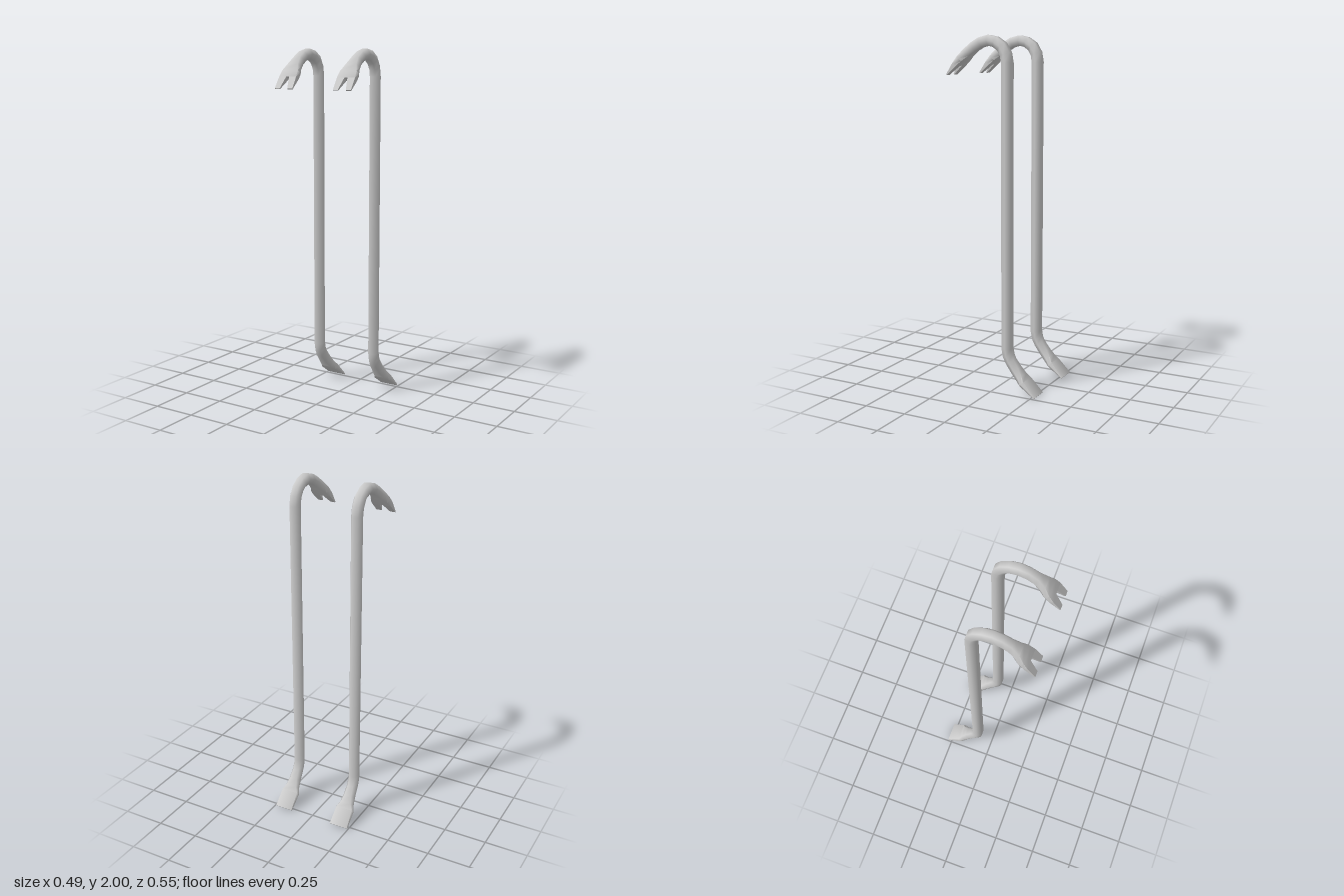
import * as THREE from 'three';
import { toCreasedNormals } from 'three/addons/utils/BufferGeometryUtils.js';

// Stations from foot to claw root: z, y, half width, half flat, half thickness
const STATIONS = [
  [-0.272, 0.006, 0.058, 0.057, 0.004],
  [-0.19, 0.075, 0.058, 0.05, 0.017],
  [-0.165, 0.1, 0.045, 0.032, 0.023],
  [-0.135, 0.135, 0.038, 0.022, 0.027],
  [-0.1, 0.182, 0.035, 0.0175, 0.029],
  [-0.085, 0.213, 0.035, 0.0175, 0.03],
  [-0.077, 0.255, 0.035, 0.0175, 0.03],
  [-0.077, 1.85, 0.035, 0.0175, 0.03],
  [-0.069, 1.897, 0.035, 0.0175, 0.03],
  [-0.045, 1.937, 0.035, 0.0175, 0.03],
  [-0.008, 1.962, 0.035, 0.0175, 0.029],
  [0.035, 1.971, 0.035, 0.0175, 0.029],
  [0.083, 1.96, 0.035, 0.0175, 0.028],
  [0.125, 1.936, 0.036, 0.02, 0.027],
  [0.165, 1.903, 0.045, 0.032, 0.024],
  [0.195, 1.872, 0.058, 0.05, 0.019],
  [0.222, 1.842, 0.058, 0.056, 0.014],
];
const TIP = [0.272, 1.785, 0.058, 0.058, 0.003];

// Skin a list of matching rings, capping the ends
function loft(rings, capStart = true) {
  const out = [];
  const n = rings[0].length;
  const tri = (...p) => p.forEach((v) => out.push(v.x, v.y, v.z));
  for (let r = 0; r < rings.length - 1; r++) {
    const a = rings[r], b = rings[r + 1];
    for (let i = 0; i < n; i++) {
      const j = (i + 1) % n;
      tri(a[i], a[j], b[j]);
      tri(a[i], b[j], b[i]);
    }
  }
  const first = rings[0], last = rings[rings.length - 1];
  for (let i = 1; i < n - 1; i++) {
    if (capStart) tri(first[0], first[i + 1], first[i]);
    tri(last[0], last[i], last[i + 1]);
  }
  const geo = new THREE.BufferGeometry();
  geo.setAttribute('position', new THREE.Float32BufferAttribute(out, 3));
  return toCreasedNormals(geo, 1.2);
}

// Direction of the bar's centre line at each station
const PATH = [...STATIONS, TIP];
const dirs = PATH.slice(1).map((s, i) =>
  new THREE.Vector2(s[0] - PATH[i][0], s[1] - PATH[i][1]).normalize());
const tangent = (i) => {
  const a = dirs[Math.max(0, i - 1)], b = dirs[Math.min(dirs.length - 1, i)];
  return a.clone().add(b).normalize();
};

// Place a flat section (x, thickness) square to the path
function place(i, points) {
  const [z, y] = PATH[i], t = tangent(i);
  return points.map(([x, h]) => new THREE.Vector3(x, y + h * t.x, z - h * t.y));
}

function createBar(bladeScale) {
  const bar = new THREE.Group();
  const material = new THREE.MeshStandardMaterial({ color: 0xcccccc });
  const add = (name, geo) => {
    const mesh = new THREE.Mesh(geo, material);
    mesh.name = name;
    bar.add(mesh);
  };

  // Hexagonal shaft with hook and flattened chisel foot
  add('shaft', loft(STATIONS.map(([, , w, f, h], i) => {
    const k = i === 0 ? bladeScale : 1;
    return place(i, [[w * k, 0], [f * k, h], [-f * k, h], [-w * k, 0], [-f * k, -h], [f * k, -h]]);
  })));

  // Two tapering prongs either side of the V notch
  const root = STATIONS.length - 1;
  for (const side of [1, -1]) {
    const rings = [root, root + 1].map((i) => {
      const [, , w, f, h] = PATH[i];
      const k = i > root ? bladeScale : 1;
      const inner = i > root ? 0.025 : 0.009;
      const section = [[w * k, 0], [f * k, h], [inner, h], [inner, -h], [f * k, -h]];
      if (side < 0) section.reverse();
      return place(i, section.map(([x, t]) => [x * side, t]));
    });
    add(side > 0 ? 'leftProng' : 'rightProng', loft(rings, false));
  }
  return bar;
}

export function createModel() {
  const model = new THREE.Group();
  model.name = 'pryBars';
  for (const side of [1, -1]) {
    const bar = createBar(side > 0 ? 0.95 : 1);
    bar.name = side > 0 ? 'leftPryBar' : 'rightPryBar';
    bar.position.x = side * 0.187;
    model.add(bar);
  }
  return model;
}
